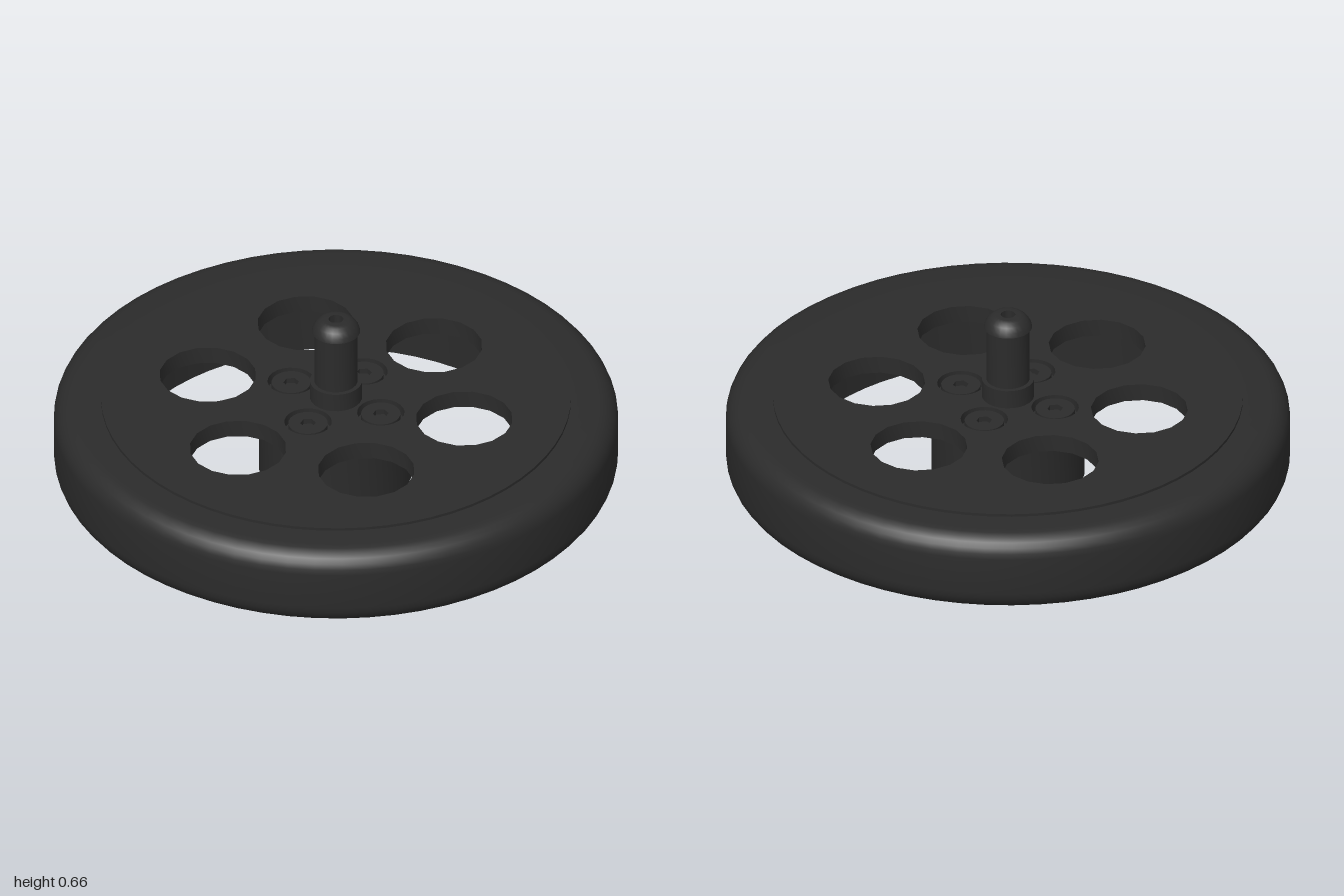
import * as THREE from 'three';
import { toCreasedNormals } from 'three/addons/utils/BufferGeometryUtils.js';

const TAU = Math.PI * 2;
const material = new THREE.MeshStandardMaterial({ color: 0x2b2b2b });

function part(name, geometry) {
  const mesh = new THREE.Mesh(toCreasedNormals(geometry, 0.6), material);
  mesh.name = name;
  return mesh;
}

// Surface of revolution; profile runs counter-clockwise as [radius, height]
function turned(name, profile, sides) {
  return part(name, new THREE.LatheGeometry(profile.map(p => new THREE.Vector2(...p)), sides));
}

// Regular polygon outline in the x-z plane
function ring(r, sides, cx = 0, cz = 0) {
  return Array.from({ length: sides }, (_, i) => {
    const a = i / sides * TAU;
    return new THREE.Vector2(cx + r * Math.cos(a), cz + r * Math.sin(a));
  });
}

// Flat horizontal plate with holes, its upper face at height top
function plate(name, outline, holes, top, depth) {
  const shape = new THREE.Shape(outline);
  holes.forEach(h => shape.holes.push(new THREE.Path(h)));
  const g = new THREE.ExtrudeGeometry(shape, { depth, bevelEnabled: false });
  return part(name, g.rotateX(Math.PI / 2).translate(0, top, 0));
}

// Evenly spaced points around the axle
function around(count, radius, startDegrees) {
  return Array.from({ length: count }, (_, i) => {
    const a = startDegrees * Math.PI / 180 + i / count * TAU;
    return [radius * Math.cos(a), radius * Math.sin(a)];
  });
}

export function createModel() {
  const wheel = new THREE.Group();
  wheel.name = 'wheel';

  // Tyre with rounded shoulders
  const tyre = [[0.825, 0.02]];
  for (const [cy, start] of [[0.1, -90], [0.24, 0]]) {
    for (let i = 0; i <= 6; i++) {
      const a = (start + i * 15) * Math.PI / 180;
      tyre.push([0.92 + 0.08 * Math.cos(a), cy + 0.08 * Math.sin(a)]);
    }
  }
  tyre.push([0.825, 0.32], [0.825, 0.02]);
  wheel.add(turned('tyre', tyre, 64));

  // Rim wall, open underneath
  wheel.add(turned('rim', [
    [0.785, 0.28], [0.785, 0.005], [0.833, 0.005], [0.833, 0.329],
  ], 64));

  // Wheel face with six lightening holes and four screw holes
  const spokeHoles = around(6, 0.475, 22);
  const screws = around(4, 0.187, 67);
  wheel.add(plate('wheelFace', ring(0.833, 64), [
    ...spokeHoles.map(([x, z]) => ring(0.172, 16, x, z)),
    ...screws.map(([x, z]) => ring(0.084, 24, x, z)),
  ], 0.33, 0.065));

  // Screws with hexagonal sockets, seated in the face
  for (const [x, z] of screws) {
    const screw = new THREE.Group();
    screw.name = 'screw';
    screw.add(
      plate('screwHead', ring(0.07, 24), [ring(0.028, 6)], 0.325, 0.03),
      plate('socketFloor', ring(0.032, 12), [], 0.305, 0.01),
    );
    screw.position.set(x, 0, z);
    wheel.add(screw);
  }

  // Hub housing below the face, with a recessed end
  wheel.add(turned('hub', [
    [0, 0.06], [0.238, 0.06], [0.238, 0.02], [0.272, 0.02], [0.272, 0.29], [0, 0.29],
  ], 32));

  // Drilled end plate and axle end
  const drillings = [...around(4, 0.165, 10), ...around(4, 0.165, 35)];
  wheel.add(plate('hubEndPlate', ring(0.218, 32), [
    ring(0.062, 20),
    ...drillings.map(([x, z]) => ring(0.012, 8, x, z)),
  ], 0.065, 0.04));
  wheel.add(plate('axleEnd', ring(0.045, 16), [ring(0.025, 6)], 0.065, 0.03));

  // Collar, axle and domed axle bolt above the face
  wheel.add(turned('collar', [[0.093, 0.29], [0.093, 0.4], [0.06, 0.4]], 24));
  wheel.add(turned('axle', [[0.077, 0.3], [0.077, 0.615]], 24));
  wheel.add(turned('axleBolt', [
    [0.07, 0.612], [0.086, 0.612], [0.082, 0.628], [0.071, 0.645], [0.058, 0.657],
    [0.045, 0.662], [0.026, 0.662], [0.026, 0.63], [0, 0.63],
  ], 24));

  return wheel;
}
